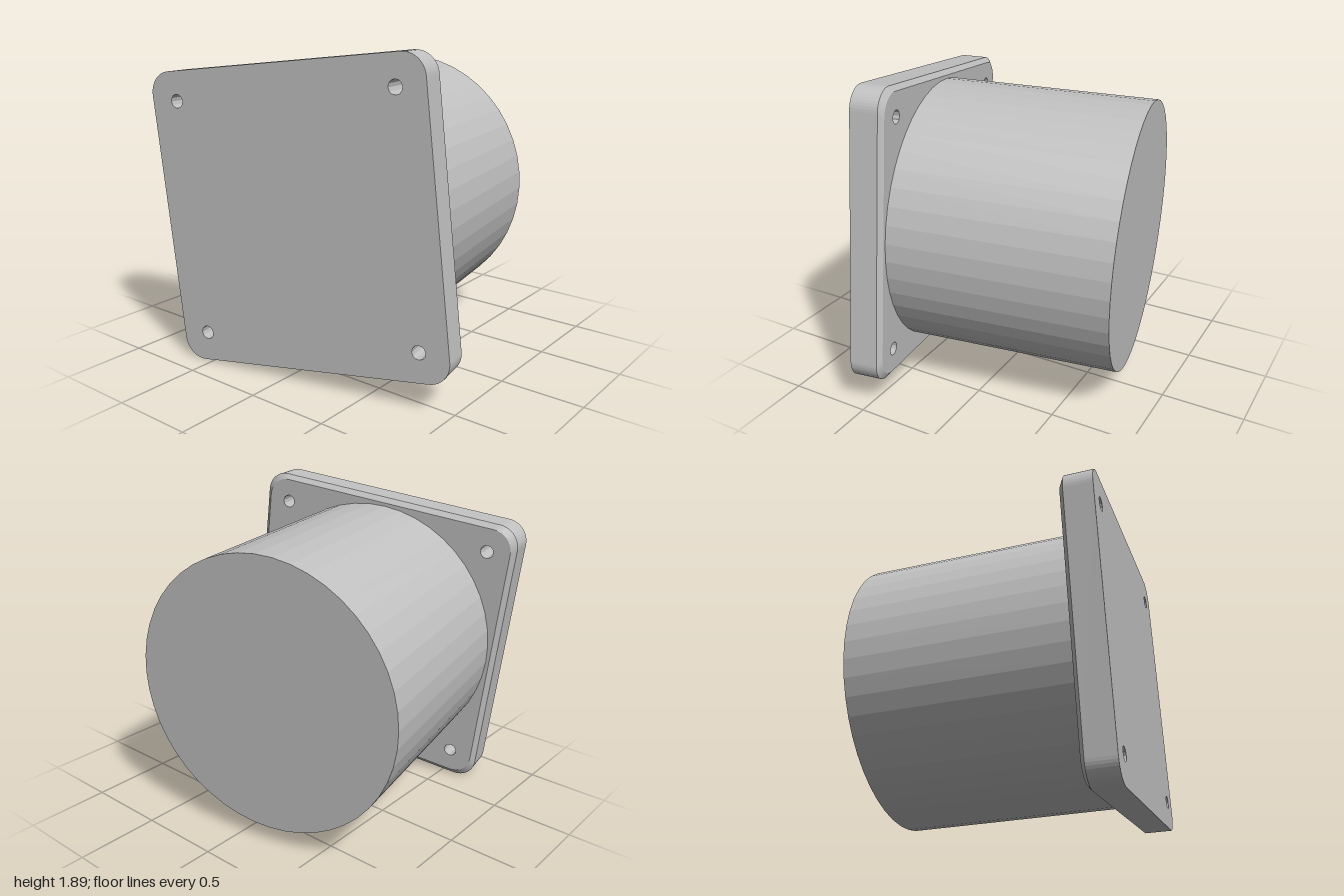
import * as THREE from 'three';

const HALF = 0.865, CORNER = 0.13, THICK = 0.19, CHAMFER = 0.03;
const HOLE_OFFSET = 0.693, HOLE_RADIUS = 0.04;
const RADIUS = 0.815, LENGTH = 1.47;

// Rounded square with four bolt holes
function flangeShape() {
  const shape = new THREE.Shape();
  const c = HALF - CORNER;
  [[c, c], [-c, c], [-c, -c], [c, -c]].forEach(([x, y], i) => {
    shape.absarc(x, y, CORNER, i * Math.PI / 2, (i + 1) * Math.PI / 2, false);
  });
  shape.closePath();
  for (const sx of [-1, 1]) for (const sy of [-1, 1]) {
    const hole = new THREE.Path();
    hole.absarc(sx * HOLE_OFFSET, sy * HOLE_OFFSET, HOLE_RADIUS, 0, Math.PI * 2, true);
    shape.holes.push(hole);
  }
  return shape;
}

// Flange plate, with a chamfer on the barrel side only
function flangeGeometry() {
  const geo = new THREE.ExtrudeGeometry(flangeShape(), {
    depth: THICK, steps: 2, bevelEnabled: false, curveSegments: 6,
  });
  const p = geo.attributes.position;
  const inset = (HALF - CHAMFER) / HALF;
  for (let i = 0; i < p.count; i++) {
    const x = p.getX(i), y = p.getY(i), z = p.getZ(i);
    const outer = Math.max(Math.abs(x), Math.abs(y)) > 0.78;
    if (z > THICK * 0.75) {
      if (outer) p.setXY(i, x * inset, y * inset);
    } else if (z > THICK * 0.25) {
      p.setZ(i, THICK - 0.025);
    }
  }
  geo.computeVertexNormals();
  return geo;
}

export function createModel() {
  const metal = new THREE.MeshStandardMaterial({ color: 0xc0c0c0, flatShading: true });
  metal.name = 'grey metal';

  const flange = new THREE.Mesh(flangeGeometry(), metal);
  flange.name = 'flangePlate';

  // Barrel standing on the plate
  const barrelLength = LENGTH - THICK;
  const barrel = new THREE.Mesh(
    new THREE.CylinderGeometry(RADIUS, RADIUS, barrelLength, 48).rotateX(Math.PI / 2), metal);
  barrel.position.z = THICK + barrelLength / 2;
  barrel.name = 'barrel';

  // Tilt the assembly: local z is the barrel axis, local y the plate's side
  const body = new THREE.Group();
  body.name = 'flangedBarrel';
  const axis = new THREE.Vector3(0.984, -0.019, -0.18).normalize();
  const side = new THREE.Vector3(0, 0.993, -0.119);
  const u = side.clone().cross(axis).normalize();
  const v = axis.clone().cross(u);
  body.quaternion.setFromRotationMatrix(new THREE.Matrix4().makeBasis(u, v, axis));
  body.position.set(-0.72, 0.949, 0.066);
  body.add(flange, barrel);

  const model = new THREE.Group();
  model.name = 'model';
  model.add(body);
  return model;
}
